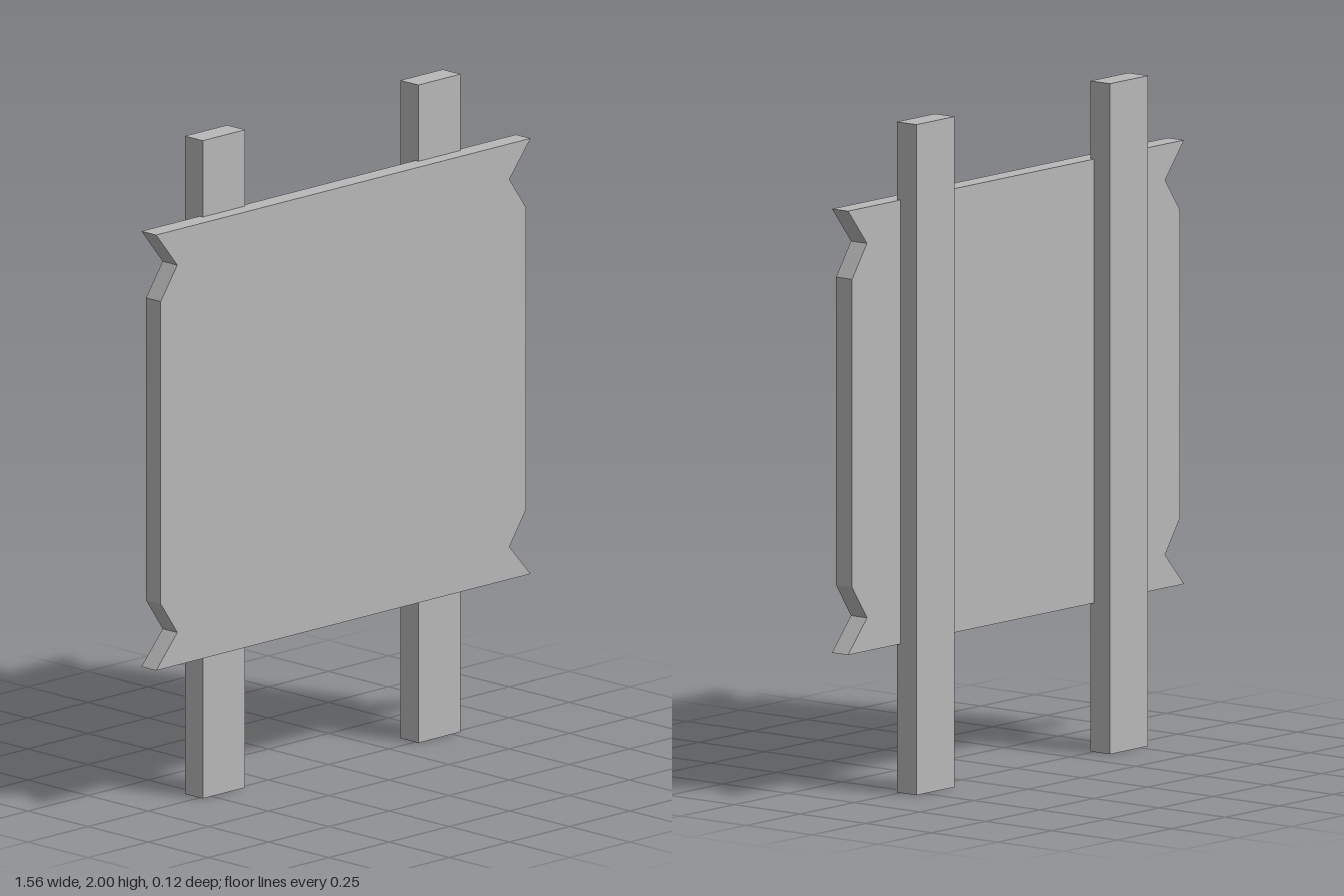
import * as THREE from 'three';

export function createModel() {
  const group = new THREE.Group();
  const grey = new THREE.MeshStandardMaterial({ color: 0xb8b8b8 });
  grey.name = 'grey';

  // Notched board: right edge going up, then mirrored for the left edge
  const edge = [
    [0.778, 0.444], [0.69, 0.543], [0.759, 0.643],
    [0.759, 1.562], [0.69, 1.66], [0.778, 1.768],
  ];
  const outline = [...edge, ...edge.map(([x, y]) => [-x, y]).reverse()];
  const shape = new THREE.Shape(outline.map(([x, y]) => new THREE.Vector2(x, y)));
  const board = new THREE.Mesh(
    new THREE.ExtrudeGeometry(shape, { depth: 0.061, bevelEnabled: false }), grey);
  board.name = 'board';
  group.add(board);

  // Two upright posts, set slightly into the back of the board
  for (const [side, name] of [[1, 'leftPost'], [-1, 'rightPost']]) {
    const post = new THREE.Mesh(new THREE.BoxGeometry(0.176, 2, 0.075), grey);
    post.name = name;
    post.position.set(side * 0.448, 1, -0.0245);
    group.add(post);
  }
  return group;
}
